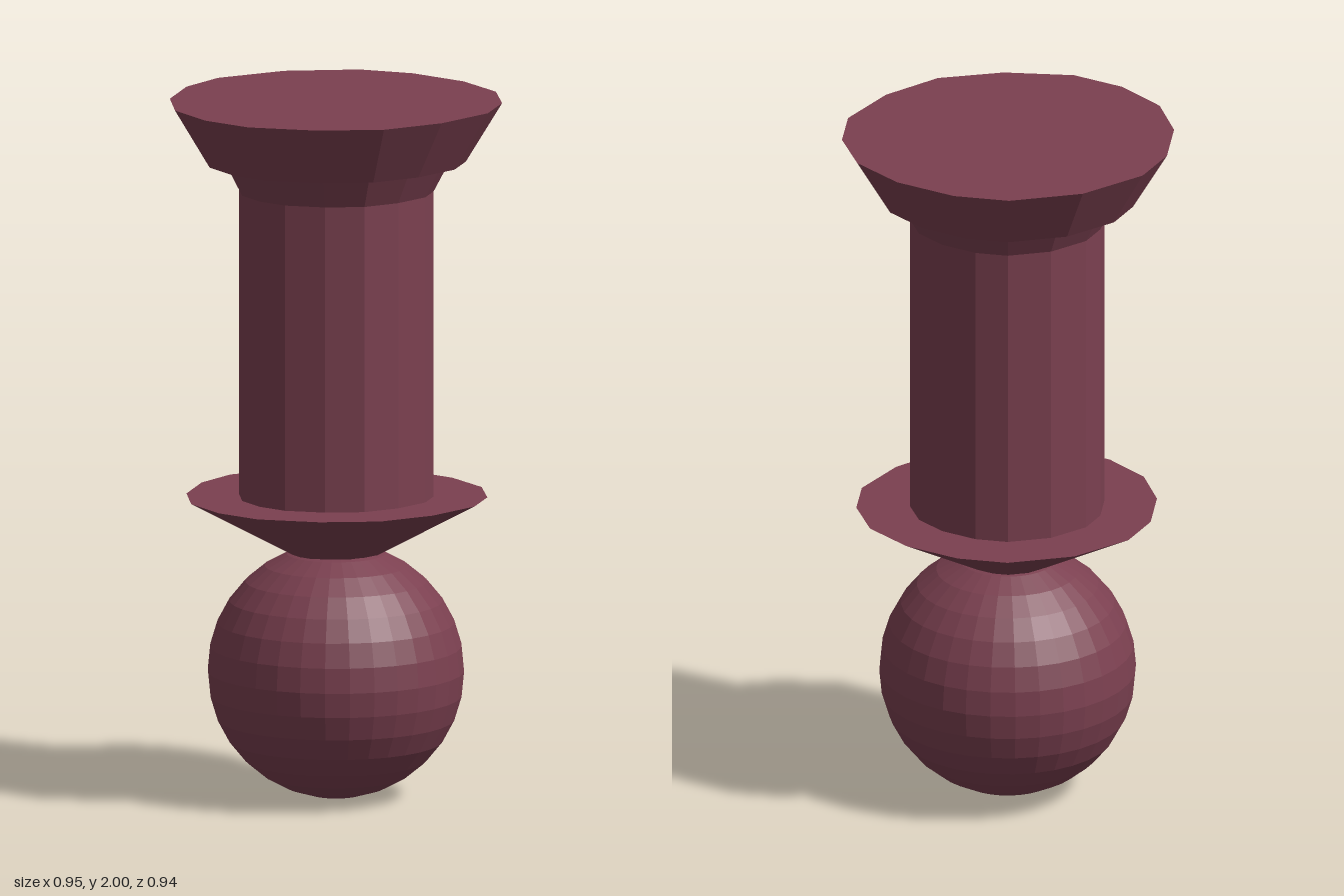
import * as THREE from 'three';

// Right half of the slightly irregular 16-sided outline, front to back: [x, z]
const HALF = [[0, 0.465], [0.185, 0.42], [0.355, 0.315], [0.44, 0.18], [0.475, 0.01],
  [0.435, -0.165], [0.335, -0.325], [0.21, -0.425], [0, -0.47]];
const OUTLINE = [...HALF, ...HALF.slice(1, -1).reverse().map(([x, z]) => [-x, z])];
const WIDTH = 0.475;

// Closed frustum through two scaled copies of the outline
function frustum(y0, r0, y1, r1, z = 0) {
  const pos = [];
  const point = (i, y, r) => {
    const [px, pz] = OUTLINE[i % OUTLINE.length];
    return [px * r / WIDTH, y, pz * r / WIDTH + z];
  };
  for (let i = 0; i < OUTLINE.length; i++) {
    const a = point(i, y0, r0), b = point(i + 1, y0, r0);
    const c = point(i + 1, y1, r1), d = point(i, y1, r1);
    pos.push(...a, ...b, ...c, ...a, ...c, ...d);   // side
    pos.push(0, y1, z, ...d, ...c);                 // top
    pos.push(0, y0, z, ...b, ...a);                 // bottom
  }
  const g = new THREE.BufferGeometry();
  g.setAttribute('position', new THREE.Float32BufferAttribute(pos, 3));
  g.computeVertexNormals();
  return g;
}

export function createModel() {
  const group = new THREE.Group();
  group.name = 'pegWithBall';
  const plum = new THREE.MeshStandardMaterial({ color: 0x7b4050, flatShading: true });
  plum.name = 'plum';

  const add = (name, geometry) => {
    const mesh = new THREE.Mesh(geometry, plum);
    mesh.name = name;
    group.add(mesh);
    return mesh;
  };

  add('cap', frustum(1.83, 0.372, 2, 0.475));
  add('collar', frustum(1.745, 0.278, 1.835, 0.325, 0.01));
  add('shaft', frustum(0.86, 0.278, 1.75, 0.278, 0.01));
  add('flange', frustum(0.705, 0.13, 0.868, 0.43, 0.01));
  add('ball', new THREE.SphereGeometry(0.363, 32, 16)).position.set(0, 0.366, 0.015);
  return group;
}
